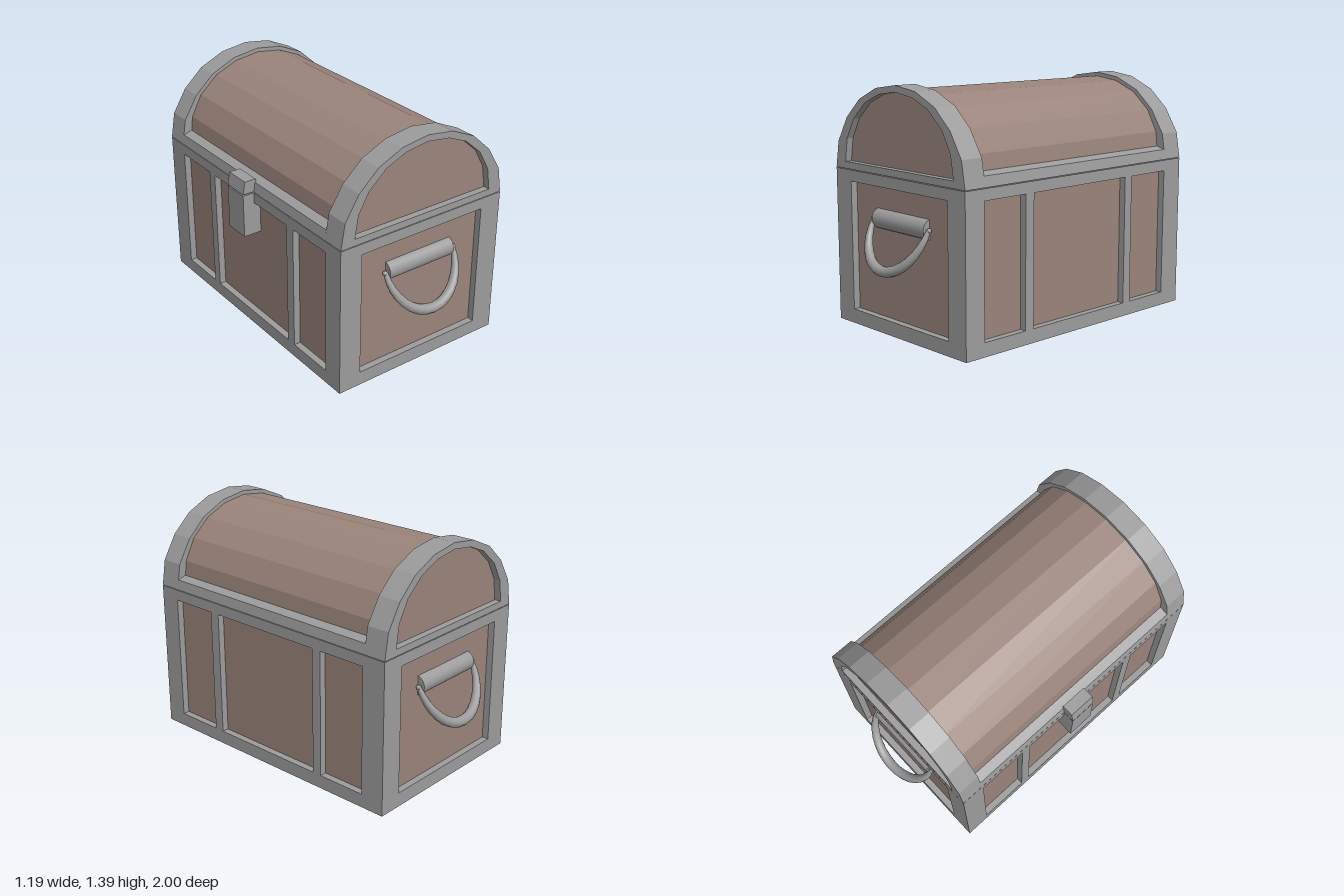
import * as THREE from 'three';

const HALF_W = 0.558, HALF_L = 0.864, BODY_H = 0.894, INSET = 0.04;
const metal = new THREE.MeshStandardMaterial({ color: 0x9c9c9c, flatShading: true });
const smoothMetal = new THREE.MeshStandardMaterial({ color: 0x9c9c9c });
const wood = new THREE.MeshStandardMaterial({ color: 0x9a847b, flatShading: true });

function add(parent, name, geometry, material, x = 0, y = 0, z = 0) {
  const mesh = new THREE.Mesh(geometry, material);
  mesh.name = name;
  mesh.position.set(x, y, z);
  parent.add(mesh);
  return mesh;
}

const toPoints = list => list.map(p => new THREE.Vector2(...p));
const rectPoints = (x0, x1, y0, y1) => toPoints([[x0, y0], [x1, y0], [x1, y1], [x0, y1]]);

// Mirrors a half profile (base to crown) into a full outline
function mirrorPoints(half) {
  const left = half.filter(([x]) => x > 0).reverse().map(([x, y]) => [-x, y]);
  return toPoints([...half, ...left]);
}

function extrude(points, depth, holes = []) {
  const shape = new THREE.Shape(points);
  holes.forEach(h => shape.holes.push(new THREE.Path(h)));
  return new THREE.ExtrudeGeometry(shape, { depth, bevelEnabled: false });
}

// Swinging handle: thick in the middle, tapering to the pins
function handleGeometry() {
  const points = [];
  for (let i = 0; i <= 16; i++) {
    const a = Math.PI * i / 16, drop = Math.sin(a);
    points.push(new THREE.Vector3(-0.24 * Math.cos(a), 0.642 - 0.243 * drop, 0.842 + 0.127 * drop));
  }
  const path = new THREE.CatmullRomCurve3(points);
  const geometry = new THREE.TubeGeometry(path, 16, 0.03, 10, false);
  const pos = geometry.attributes.position, uv = geometry.attributes.uv;
  const v = new THREE.Vector3();
  for (let i = 0; i < pos.count; i++) {
    const u = uv.getX(i), centre = path.getPointAt(u);
    const k = 0.4 + 0.6 * Math.pow(Math.max(0, Math.sin(Math.PI * u)), 0.7);
    v.fromBufferAttribute(pos, i).sub(centre).multiplyScalar(k).add(centre);
    pos.setXYZ(i, v.x, v.y, v.z);
  }
  return geometry;
}

export function createModel() {
  const model = new THREE.Group();
  model.name = 'chest';
  const chest = new THREE.Group();
  chest.name = 'chestAssembly';
  chest.position.x = 0.033;
  model.add(chest);

  // Body: wooden core, floor and top plates
  const coreW = 2 * (HALF_W - INSET), coreL = 2 * (HALF_L - INSET);
  add(chest, 'woodenBody', new THREE.BoxGeometry(coreW, 0.82, coreL), wood, 0, 0.45, 0);
  add(chest, 'floorPlate', new THREE.BoxGeometry(coreW, 0.04, coreL), metal, 0, 0.02, 0);
  add(chest, 'topPlate', new THREE.BoxGeometry(coreW, 0.04, coreL), metal, 0, BODY_H - 0.02, 0);

  // Long side frames with three windows each, given as z ranges
  const windows = [[-0.718, -0.421], [-0.363, 0.377], [0.439, 0.735]];
  for (const side of [1, -1]) {
    const holes = windows.map(([a, b]) => side > 0
      ? rectPoints(-b, -a, 0.08, 0.83) : rectPoints(a, b, 0.08, 0.83));
    const geometry = extrude(rectPoints(-HALF_L, HALF_L, 0, BODY_H), INSET, holes);
    const frame = add(chest, side > 0 ? 'leftSideFrame' : 'rightSideFrame', geometry, metal,
      side * (HALF_W - INSET), 0, 0);
    frame.rotation.y = side * Math.PI / 2;
  }

  // Lid: wooden barrel whose ends show through the arches
  const outer = mirrorPoints([[0.558, 0.898], [0.532, 1.05], [0.446, 1.19], [0.325, 1.3], [0.17, 1.37], [0, 1.394]]);
  const inner = mirrorPoints([[0.468, 0.938], [0.447, 1.07], [0.381, 1.187], [0.271, 1.283], [0.146, 1.336], [0, 1.357]]);
  const barrel = mirrorPoints([[0.5, 0.915], [0.482, 1.06], [0.415, 1.187], [0.3, 1.288], [0.158, 1.348], [0, 1.37]]);
  add(chest, 'lidBarrel', extrude(barrel, coreL), wood, 0, 0, -coreL / 2);
  const rim = mirrorPoints([[0.558, 0.898], [0.548, 0.957], [0.485, 0.975]]);
  add(chest, 'lidRim', extrude(rim, 1.46), metal, 0, 0, -0.73);

  // Both ends: body frame, lid arch and handle
  for (const end of ['front', 'back']) {
    const group = new THREE.Group();
    group.name = end + 'End';
    group.rotation.y = end === 'front' ? 0 : Math.PI;
    chest.add(group);

    const w = HALF_W - INSET;
    add(group, end + 'Frame', extrude(rectPoints(-w, w, 0, BODY_H), INSET,
      [rectPoints(-0.419, 0.419, 0.083, 0.83)]), metal, 0, 0, HALF_L - INSET);
    add(group, end + 'LidArch', extrude(outer, HALF_L - 0.727, [inner]), metal, 0, 0, 0.727);

    // Roller bar, pins and swinging handle
    const bar = new THREE.CylinderGeometry(0.058, 0.058, 0.452, 24).rotateZ(Math.PI / 2);
    add(group, end + 'HandleBar', bar, smoothMetal, 0, 0.642, 0.81);
    add(group, end + 'Handle', handleGeometry(), smoothMetal);
    for (const s of [1, -1]) {
      const pin = new THREE.CylinderGeometry(0.008, 0.008, 0.04, 8).rotateZ(Math.PI / 2);
      add(group, end + 'HandlePin', pin, smoothMetal, s * 0.23, 0.642, 0.842);
      add(group, end + 'HandleKnob', new THREE.SphereGeometry(0.014, 10, 8), smoothMetal, s * 0.244, 0.642, 0.842);
    }
  }

  // Latch on the right side: plate reaching the wooden panel, tongue and sloped lid catch
  const latchZ = -0.02;
  add(model, 'latchPlate', new THREE.BoxGeometry(0.115, 0.258, 0.16), metal, -0.5375, 0.764, latchZ);
  add(model, 'latchTongue', new THREE.BoxGeometry(0.04, 0.02, 0.115), metal, -0.562, 0.895, latchZ);
  const catchPoints = toPoints([[-0.595, 0.901], [-0.5, 0.901], [-0.51, 0.977], [-0.581, 0.977]]);
  add(model, 'latchCatch', extrude(catchPoints, 0.16), metal, 0, 0, latchZ - 0.08);

  return model;
}
